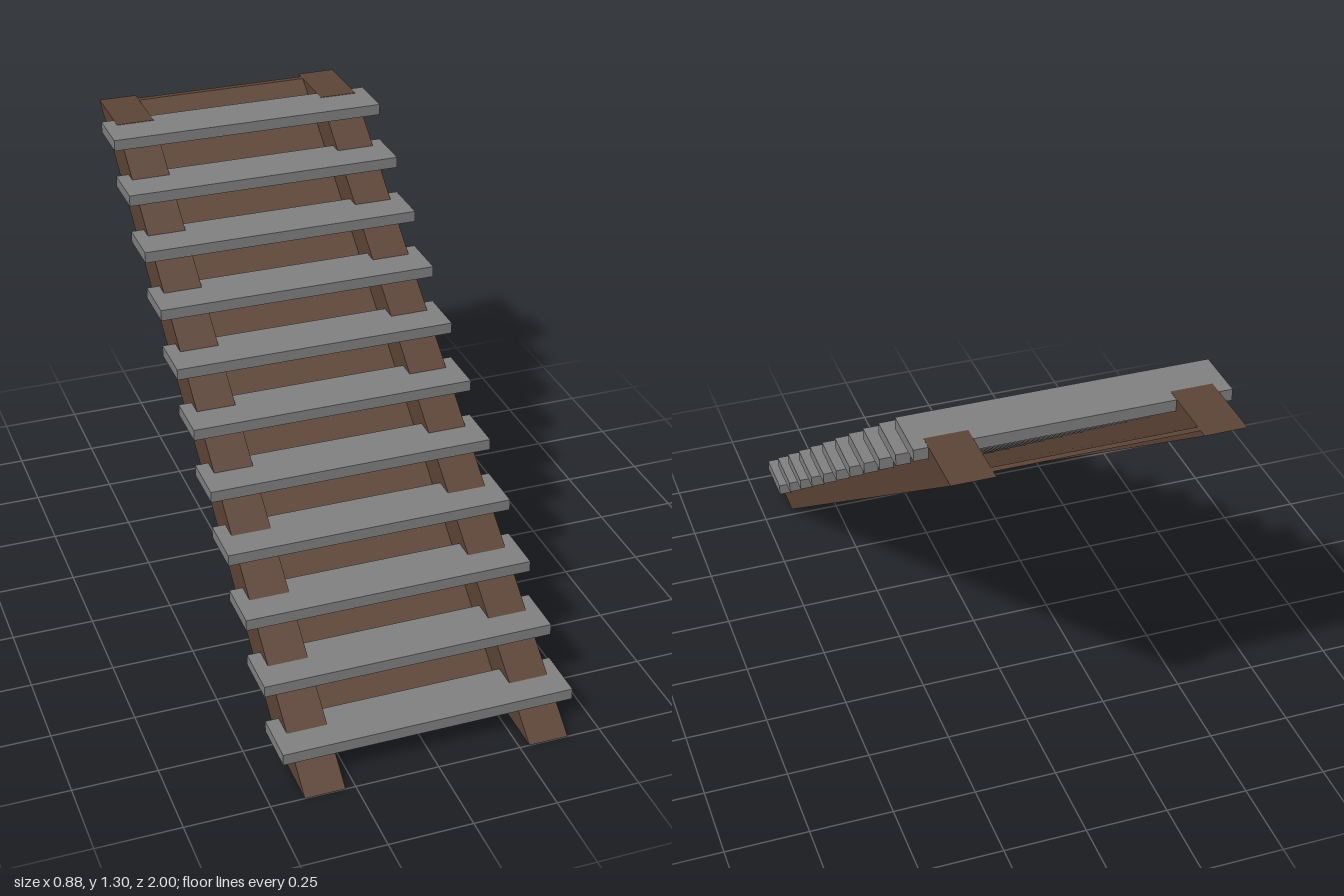
import * as THREE from 'three';

const HEIGHT = 1.3;
const RUN = 1.78; // horizontal travel from foot to head

// Sloping plank: level-cut ends, foot spanning zBack..zFront, centred on x
function slopedPlank(zFront, zBack, width) {
  const shape = new THREE.Shape([
    new THREE.Vector2(zBack, 0),
    new THREE.Vector2(zFront, 0),
    new THREE.Vector2(zFront - RUN, HEIGHT),
    new THREE.Vector2(zBack - RUN, HEIGHT),
  ]);
  const geo = new THREE.ExtrudeGeometry(shape, { depth: width, bevelEnabled: false });
  geo.translate(0, 0, -width / 2);
  geo.rotateY(-Math.PI / 2); // profile runs along z, width along x
  return geo;
}

export function createModel() {
  const model = new THREE.Group();
  model.name = 'staircase';
  const wood = new THREE.MeshStandardMaterial({ color: 0x5c4336, flatShading: true });
  const stone = new THREE.MeshStandardMaterial({ color: 0x808080, flatShading: true });

  const add = (name, geo, mat, x = 0, y = 0, z = 0) => {
    const mesh = new THREE.Mesh(geo, mat);
    mesh.name = name;
    mesh.position.set(x, y, z);
    model.add(mesh);
  };

  // Side stringers
  const stringer = slopedPlank(1, 0.78, 0.12);
  add('leftStringer', stringer, wood, 0.34);
  add('rightStringer', stringer, wood, -0.34);

  // Thin backing panel, slightly recessed from the underside
  add('backPanel', slopedPlank(0.824, 0.805, 0.56), wood);

  // Treads, overhanging the stringers on both sides
  const treadCount = 11;
  const tread = new THREE.BoxGeometry(0.88, 0.035, 0.158);
  for (let i = 0; i < treadCount; i++) {
    add(`tread${i + 1}`, tread, stone, 0, 0.0937 + i * 0.1188, 0.854 - i * 0.1596);
  }

  return model;
}
